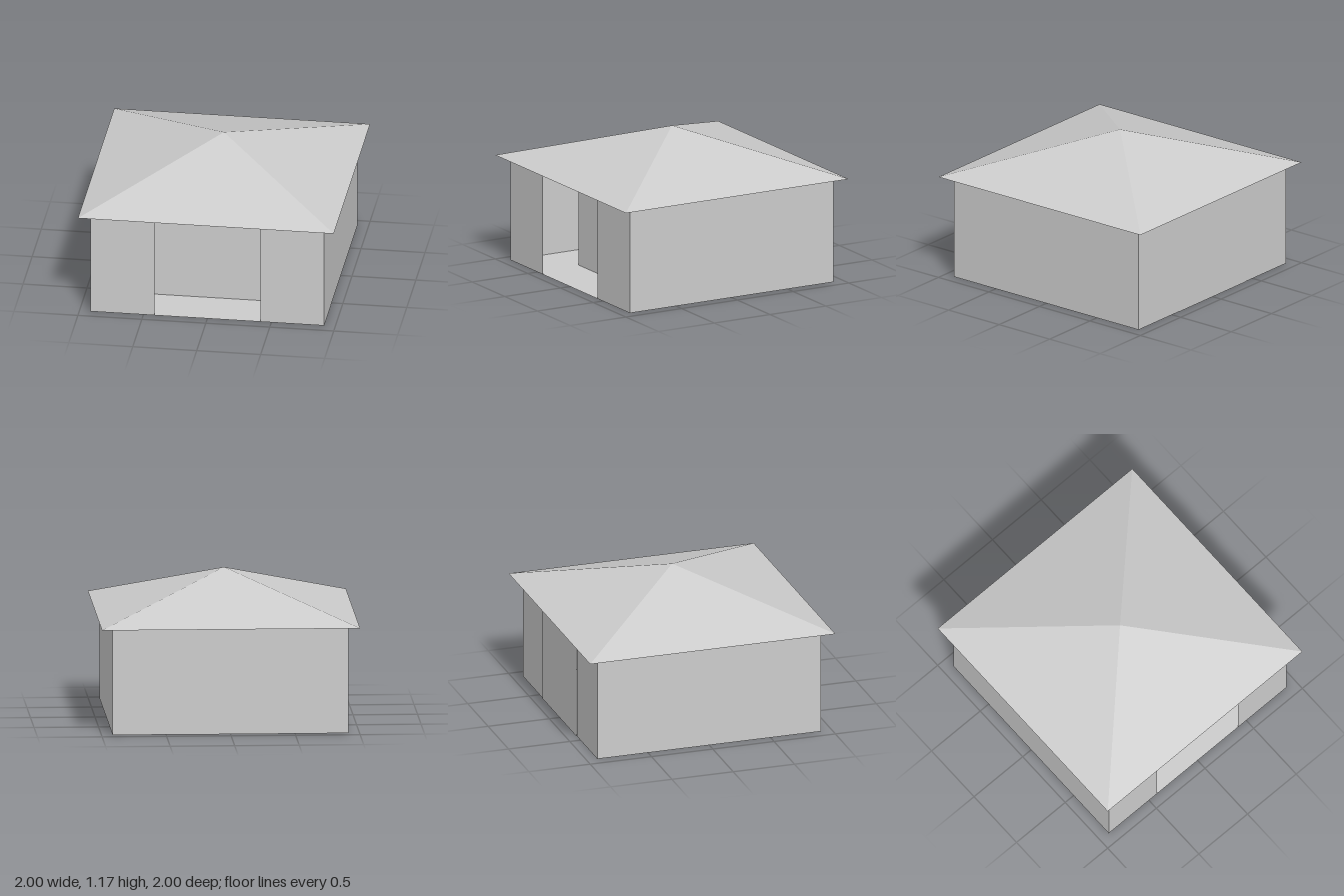
import * as THREE from 'three';

export function createModel() {
  const group = new THREE.Group();
  const mat = new THREE.MeshStandardMaterial({ color: 0xcccccc, flatShading: true, side: THREE.DoubleSide });

  const W = 0.913;     // half width of the house
  const H = 0.833;     // wall height
  const DOOR = 0.415;  // half width of the front opening
  const INNER = 0.52;  // half width of the inner room
  const APEX = 1.167;

  // Thin upright panel, turned about y to face its side
  function panel(name, width, x, z, turn = 0) {
    const mesh = new THREE.Mesh(new THREE.PlaneGeometry(width, H), mat);
    mesh.name = name;
    mesh.position.set(x, H / 2, z);
    mesh.rotation.y = turn;
    group.add(mesh);
  }

  // Floor slab
  const floor = new THREE.Mesh(new THREE.PlaneGeometry(2 * W, 2 * W), mat);
  floor.name = 'floor';
  floor.rotation.x = -Math.PI / 2;
  group.add(floor);

  // Side walls, and front and back wall panels beside the middle bay
  const side = W - DOOR;
  for (const [s, label] of [[1, 'left'], [-1, 'right']]) {
    panel(label + 'Wall', 2 * W, s * W, 0, s * Math.PI / 2);
    panel(label + 'FrontWall', side, s * (DOOR + side / 2), W);
    panel(label + 'BackWall', side, s * (DOOR + side / 2), -W, Math.PI);
  }

  // Middle of the back wall, standing very slightly proud
  panel('backMiddleWall', 2 * DOOR, 0, -W - 0.004, Math.PI);

  // Inner room behind the opening, floor to ceiling
  const room = new THREE.Mesh(new THREE.BoxGeometry(2 * INNER, H, 2 * INNER + 0.03), mat);
  room.name = 'innerRoom';
  room.position.y = H / 2;
  group.add(room);

  // Pyramid roof with flat soffit
  const roofGeo = new THREE.ConeGeometry(Math.SQRT2, APEX - H, 4);
  roofGeo.rotateY(Math.PI / 4);
  const roof = new THREE.Mesh(roofGeo, mat);
  roof.name = 'roof';
  roof.position.y = (H + APEX) / 2;
  group.add(roof);

  return group;
}
